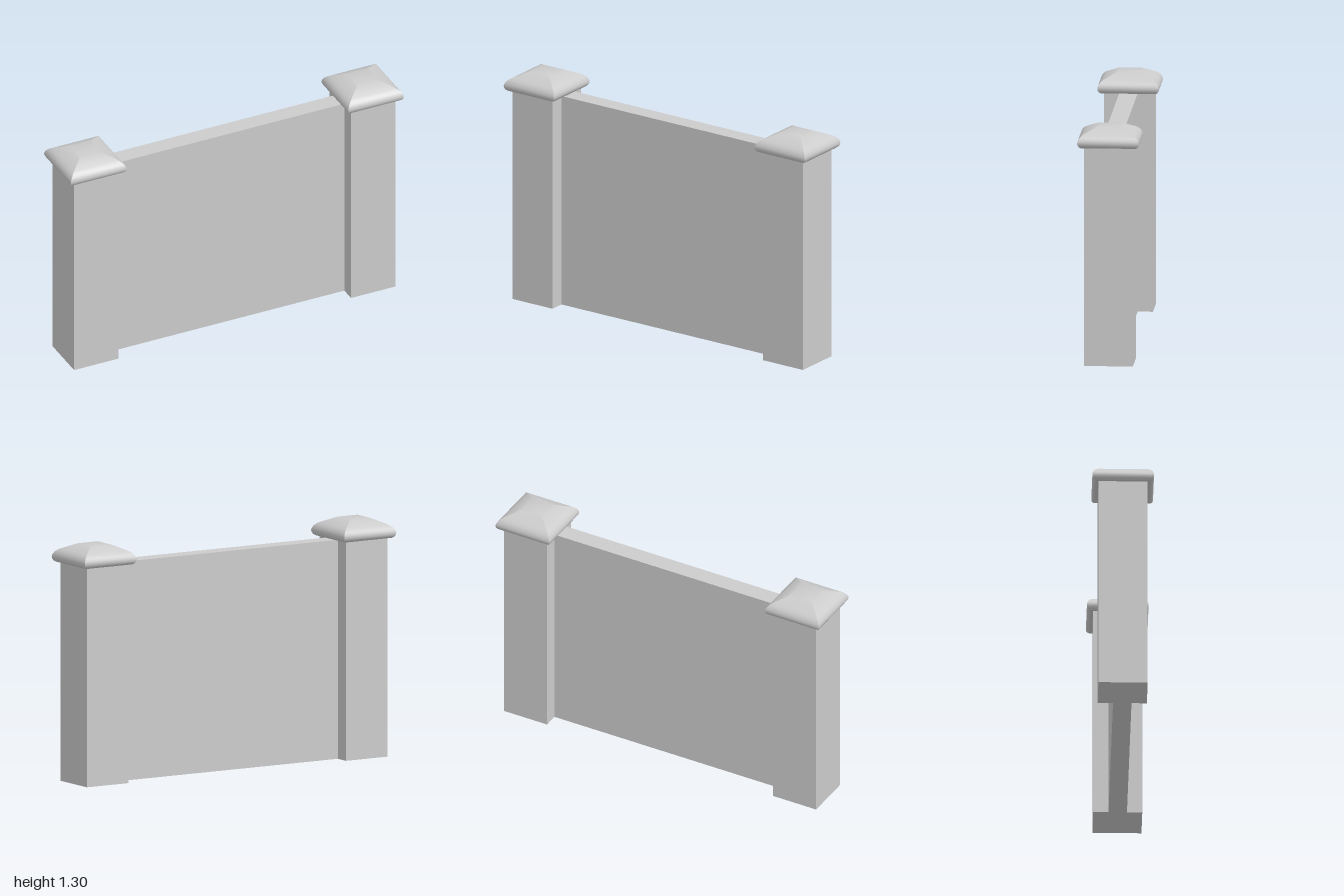
import * as THREE from 'three';
import { toCreasedNormals } from 'three/addons/utils/BufferGeometryUtils.js';

const POST_X = 0.832, POST_W = 0.266, WALL_H = 1.2;

// Square cap: a four-sided lathe of [half width, height] points
function capGeometry() {
  const profile = [
    [0, 1.2], [0.15, 1.2], [0.159, 1.207], [0.165, 1.217], [0.167, 1.229], [0.164, 1.241],
    [0.157, 1.254], [0.146, 1.265], [0.132, 1.274], [0.065, 1.305], [0, 1.305],
  ].map(([half, y]) => new THREE.Vector2(half * Math.SQRT2, y));
  return toCreasedNormals(new THREE.LatheGeometry(profile, 4, Math.PI / 4), 0.5);
}

export function createModel() {
  const model = new THREE.Group();
  model.name = 'wallSection';
  const material = new THREE.MeshStandardMaterial({ color: 0xcccccc });

  const add = (name, geometry, x, y) => {
    const mesh = new THREE.Mesh(geometry, material);
    mesh.name = name;
    mesh.position.set(x, y, 0);
    model.add(mesh);
  };

  // Thin panel between the posts
  add('wallPanel', new THREE.BoxGeometry(2 * POST_X - POST_W, WALL_H, 0.1), 0, WALL_H / 2);

  // Posts with their caps
  const post = new THREE.BoxGeometry(POST_W, WALL_H + 0.005, POST_W);
  const cap = capGeometry();
  for (const [side, sign] of [['left', 1], ['right', -1]]) {
    add(side + 'Post', post, sign * POST_X, (WALL_H + 0.005) / 2);
    add(side + 'Cap', cap, sign * (1 - 0.167), 0);
  }
  return model;
}
